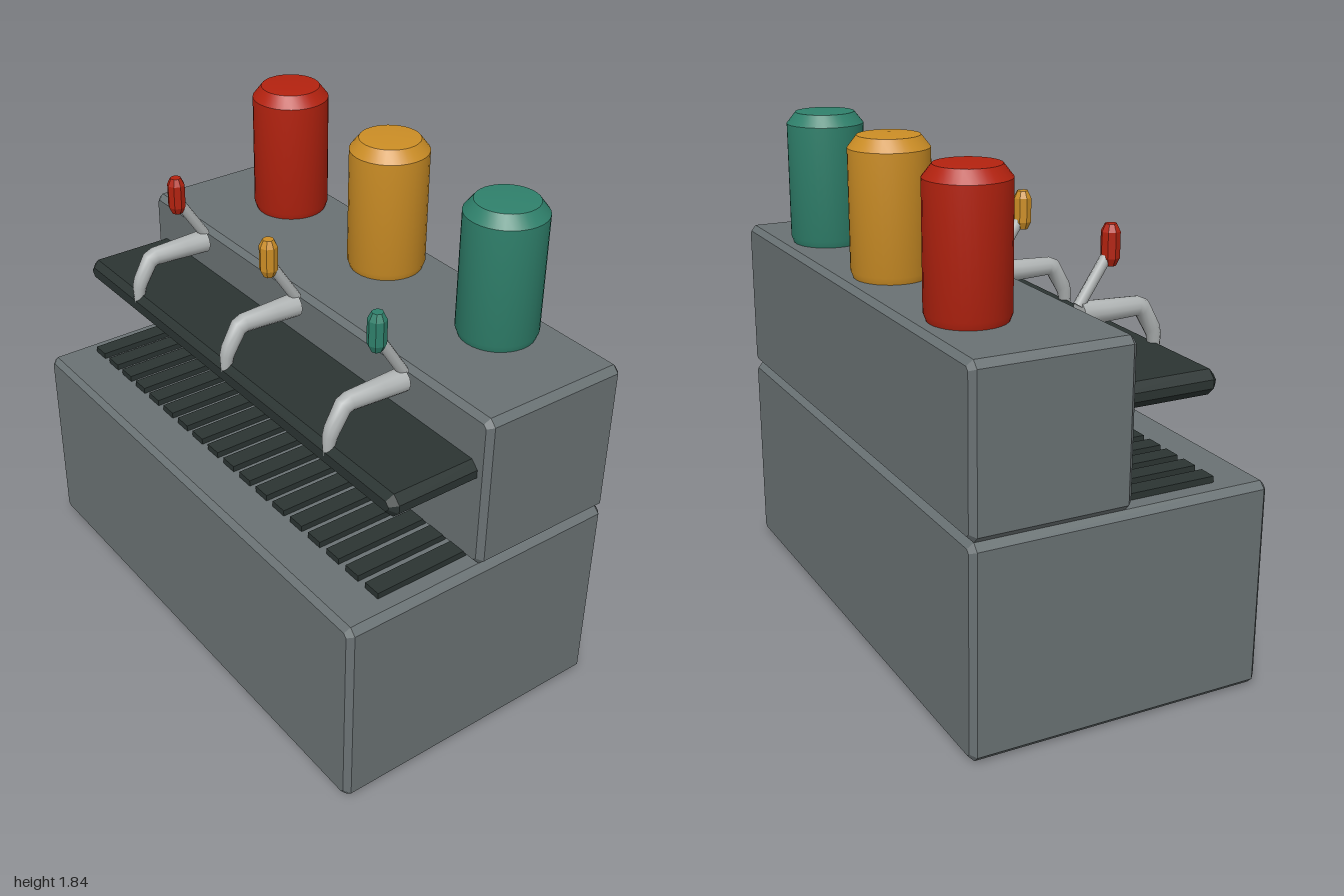
import * as THREE from 'three';
import { toCreasedNormals } from 'three/addons/utils/BufferGeometryUtils.js';

const material = (name, color) => {
  const m = new THREE.MeshStandardMaterial({ color });
  m.name = name;
  return m;
};

// Box between two corners with every edge chamfered by b
function chamferBox([x0, y0, z0], [x1, y1, z1], b) {
  const w = (x1 - x0) / 2 - b, h = (y1 - y0) / 2 - b, d = z1 - z0;
  const c = b * 0.6;
  const shape = new THREE.Shape([
    [w, -h + c], [w, h - c], [w - c, h], [-w + c, h],
    [-w, h - c], [-w, -h + c], [-w + c, -h], [w - c, -h],
  ].map(([x, y]) => new THREE.Vector2(x, y)));
  const geo = new THREE.ExtrudeGeometry(shape, {
    depth: d - 2 * b, bevelThickness: b, bevelSize: b, bevelSegments: 1,
  });
  return geo.translate((x0 + x1) / 2, (y0 + y1) / 2, z0 + b);
}

function lathe(profile, sides, crease) {
  const points = profile.map(([r, y]) => new THREE.Vector2(r, y));
  return toCreasedNormals(new THREE.LatheGeometry(points, sides), crease);
}

// Tapered bent pipe in the yz plane; rings are [z, y, downward angle in degrees, radius]
function bentPipe(rings, sides) {
  const positions = [], index = [];
  const first = rings[0], last = rings[rings.length - 1];
  const all = [[...first.slice(0, 3), 0], ...rings, [...last.slice(0, 3), 0]];
  all.forEach(([z, y, deg, r], i) => {
    const a = THREE.MathUtils.degToRad(deg);
    for (let j = 0; j < sides; j++) {
      const t = (j / sides) * Math.PI * 2, n = Math.sin(t) * r;
      positions.push(Math.cos(t) * r, y + n * Math.cos(a), z + n * Math.sin(a));
      if (i === all.length - 1) continue;
      const k = (j + 1) % sides, p = i * sides, q = p + sides;
      if (i > 0) index.push(p + j, p + k, q + k);
      if (i < all.length - 2) index.push(p + j, q + k, q + j);
    }
  });
  const geo = new THREE.BufferGeometry();
  geo.setAttribute('position', new THREE.Float32BufferAttribute(positions, 3));
  geo.setIndex(index);
  return toCreasedNormals(geo, 0.9);
}

export function createModel() {
  const root = new THREE.Group();
  root.name = 'drinkDispenser';

  const body = material('body grey', 0x697173);
  const dark = material('dark trim', 0x2b3432);
  const steel = material('light steel', 0xb0b4b4);
  const flavours = [
    ['red', -0.6, material('red', 0xb3220f)],
    ['amber', 0, material('amber', 0xcb8d25)],
    ['green', 0.6, material('green', 0x2f806b)],
  ];

  const add = (name, geo, mat, parent = root) => {
    const mesh = new THREE.Mesh(geo, mat);
    mesh.name = name;
    parent.add(mesh);
    return mesh;
  };

  // Cabinet and set-back upper housing
  add('baseCabinet', chamferBox([-1, 0, -0.55], [1, 0.758, 0.55], 0.02), body);
  add('upperHousing', chamferBox([-1, 0.758, -0.55], [1, 1.335, 0.022], 0.02), body);

  // Shelf under the taps, set into the housing
  add('tapShelf', chamferBox([-0.956, 1.075, -0.1], [0.956, 1.162, 0.36], 0.024), dark);

  // Drip grille of evenly spaced slats
  const grille = new THREE.Group();
  grille.name = 'dripGrille';
  root.add(grille);
  const slat = new THREE.BoxGeometry(0.067, 0.04, 0.37);
  for (let i = 0; i < 18; i++) {
    add('slat', slat, dark, grille).position.set((i - 8.5) * 0.1045, 0.761, 0.195);
  }

  // Shared shapes for the canisters and taps
  const canister = lathe([
    [0, 1.33], [0.132, 1.33], [0.143, 1.36], [0.143, 1.785], [0.11, 1.827], [0, 1.835],
  ], 32, 0.5);
  const spout = bentPipe([
    [0.045, 1.297, 0, 0.043], [0.14, 1.297, 0, 0.039], [0.265, 1.297, 8, 0.034],
    [0.287, 1.287, 35, 0.033], [0.328, 1.215, 60, 0.029], [0.337, 1.19, 80, 0.026],
    [0.344, 1.115, 84, 0.016],
  ], 12);
  const grip = lathe([
    [0, 1.448], [0.02, 1.448], [0.033, 1.475], [0.033, 1.562], [0.02, 1.588], [0, 1.588],
  ], 8, 0.4);

  // Stem leaning forward from the back of the spout up into the grip
  const from = new THREE.Vector3(0, 1.325, 0.042), to = new THREE.Vector3(0, 1.49, 0.15);
  const stem = new THREE.CylinderGeometry(0.02, 0.02, from.distanceTo(to), 8);
  stem.rotateX(Math.atan2(to.z - from.z, to.y - from.y));
  stem.translate(0, (from.y + to.y) / 2, (from.z + to.z) / 2);

  for (const [name, x, colour] of flavours) {
    add(`${name}Canister`, canister, colour).position.set(x, 0, -0.36);
    const tap = new THREE.Group();
    tap.name = `${name}Tap`;
    tap.position.x = x;
    root.add(tap);
    add('spout', spout, steel, tap);
    add('leverStem', stem, steel, tap);
    add('leverGrip', grip, colour, tap).position.z = 0.157;
  }
  return root;
}
